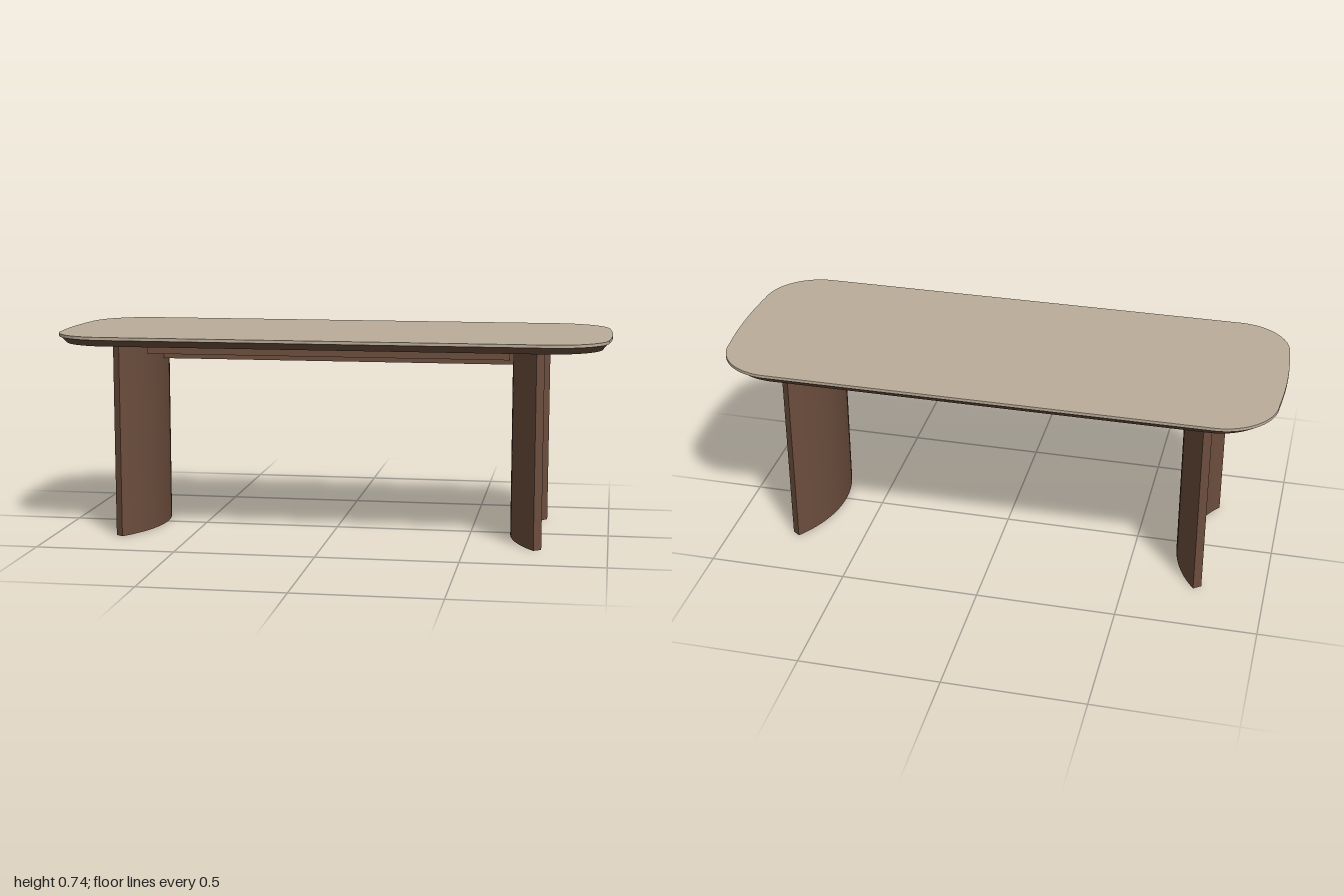
import * as THREE from 'three';
import { toCreasedNormals } from 'three/addons/utils/BufferGeometryUtils.js';

const material = (name, color) => Object.assign(new THREE.MeshStandardMaterial({ color }), { name });

export function createModel() {
  const table = new THREE.Group();
  table.name = 'diningTable';
  const stone = material('paleStone', 0xbbad99);
  const wood = material('brownWood', 0x6c4e3d);
  const metal = material('blackMetal', 0x1b1a19);

  const add = (name, geometry, mat, x = 0, y = 0, z = 0) => {
    const mesh = new THREE.Mesh(geometry, mat);
    mesh.name = name;
    mesh.position.set(x, y, z);
    table.add(mesh);
    return mesh;
  };
  // Box spanning y0 to y1, centred on x and z
  const bar = (name, mat, w, y0, y1, d, x = 0, z = 0) =>
    add(name, new THREE.BoxGeometry(w, y1 - y0, d), mat, x, (y0 + y1) / 2, z);
  // Upright prism from a plan outline
  const prism = (shape, height) =>
    new THREE.ExtrudeGeometry(shape, { depth: height, bevelEnabled: false, curveSegments: 20 }).rotateX(-Math.PI / 2);

  // Plan of the top: rounded corners, straight sides, slightly bowed ends
  const plan = (hx, hz) => {
    const r = 0.2, ex = hx - 0.01, cx = ex - r, cz = hz - r;
    const s = new THREE.Shape();
    s.moveTo(-cx, -hz);
    s.lineTo(cx, -hz);
    s.absarc(cx, -cz, r, -Math.PI / 2, 0, false);
    s.quadraticCurveTo(hx + 0.01, 0, ex, cz);
    s.absarc(cx, cz, r, 0, Math.PI / 2, false);
    s.lineTo(-cx, hz);
    s.absarc(-cx, cz, r, Math.PI / 2, Math.PI, false);
    s.quadraticCurveTo(-hx - 0.01, 0, -ex, -cz);
    s.absarc(-cx, -cz, r, Math.PI, Math.PI * 1.5, false);
    return s;
  };

  add('topSlab', toCreasedNormals(prism(plan(1, 0.39), 0.011), 0.5), stone, 0, 0.727);

  // Wooden under-top, drawn in towards its lower face
  const under = prism(plan(0.996, 0.386), 0.024);
  const p = under.attributes.position;
  for (let i = 0; i < p.count; i++) {
    if (p.getY(i) < 0.012) p.setXYZ(i, p.getX(i) * 0.98, p.getY(i), p.getZ(i) * 0.945);
  }
  add('underTop', toCreasedNormals(under, 0.5), wood, 0, 0.703);

  // Curved panel legs, bulging towards the middle
  const R = 0.466, t = 0.034, half = 0.657;
  const arc = new THREE.Shape();
  arc.absarc(R, 0, R, Math.PI - half, Math.PI + half, false);
  arc.absarc(R, 0, R - t, Math.PI + half, Math.PI - half, true);
  arc.closePath();
  const legGeometry = toCreasedNormals(prism(arc, 0.7), 0.5);

  for (const side of [1, -1]) {
    const label = side > 0 ? 'left' : 'right';
    const leg = add(label + 'Leg', legGeometry, wood, side * 0.648 - 0.003);
    if (side < 0) leg.rotation.y = Math.PI;
    bar(label + 'LegPlate', metal, 0.18, 0.699, 0.7045, 0.62, side * 0.705);
    bar(side > 0 ? 'frontRail' : 'backRail', wood, 1.3, 0.667, 0.695, 0.025, -0.003, side * 0.235);
  }

  // Central beam and the metal straps that carry the rails
  bar('centreBeam', wood, 1.296, 0.625, 0.697, 0.045, -0.003);
  for (const x of [-0.53, 0, 0.53]) bar('crossStrap', metal, 0.06, 0.694, 0.7045, 0.54, x);

  return table;
}
